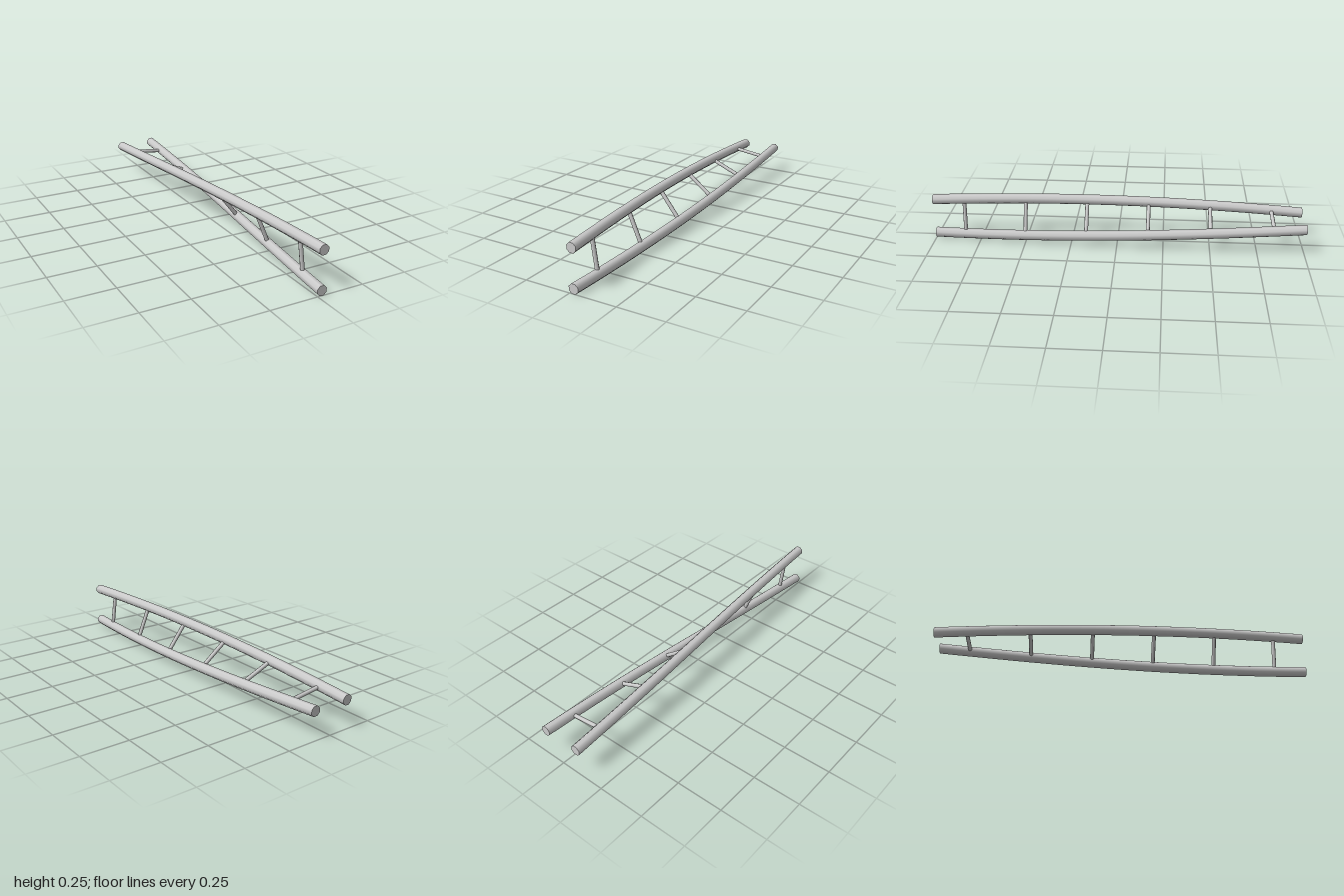
import * as THREE from 'three';

const R = 0.1025, CY = 0.126, TUBE = 0.0272, RUNG = 0.0107;
const START = THREE.MathUtils.degToRad(77.5); // half the angle between the strands

// Point on a strand: a quarter turn about the z axis from front to back
function strandPoint(start, z) {
  const a = start + (1 - z) * Math.PI / 4;
  return new THREE.Vector3(R * Math.cos(a), CY + R * Math.sin(a), z);
}

// Straight octagonal rod whose cross-sections are shifted onto the helix
function strandGeometry(start) {
  const g = new THREE.CylinderGeometry(TUBE, TUBE, 2, 8, 24);
  g.rotateY(Math.PI / 8).rotateX(Math.PI / 2);
  const p = g.attributes.position;
  for (let i = 0; i < p.count; i++) {
    const c = strandPoint(start, p.getZ(i));
    p.setXY(i, p.getX(i) + c.x, p.getY(i) + c.y);
  }
  return g;
}

export function createModel() {
  const group = new THREE.Group();
  const mat = new THREE.MeshStandardMaterial({ color: 0xcccccc });

  // Two twisted rails
  [['upperStrand', START], ['lowerStrand', -START]].forEach(([name, start]) => {
    const strand = new THREE.Mesh(strandGeometry(start), mat);
    strand.name = name;
    group.add(strand);
  });

  // Six rungs joining the rails
  for (let i = 0; i < 6; i++) {
    const z = 1 - (i + 0.5) / 3;
    const a = strandPoint(START, z), b = strandPoint(-START, z);
    const dir = a.clone().sub(b);
    const rung = new THREE.Mesh(new THREE.CylinderGeometry(RUNG, RUNG, dir.length(), 8), mat);
    rung.name = `rung${i + 1}`;
    rung.position.copy(a).add(b).multiplyScalar(0.5);
    rung.quaternion.setFromUnitVectors(new THREE.Vector3(0, 1, 0), dir.normalize());
    group.add(rung);
  }
  return group;
}
